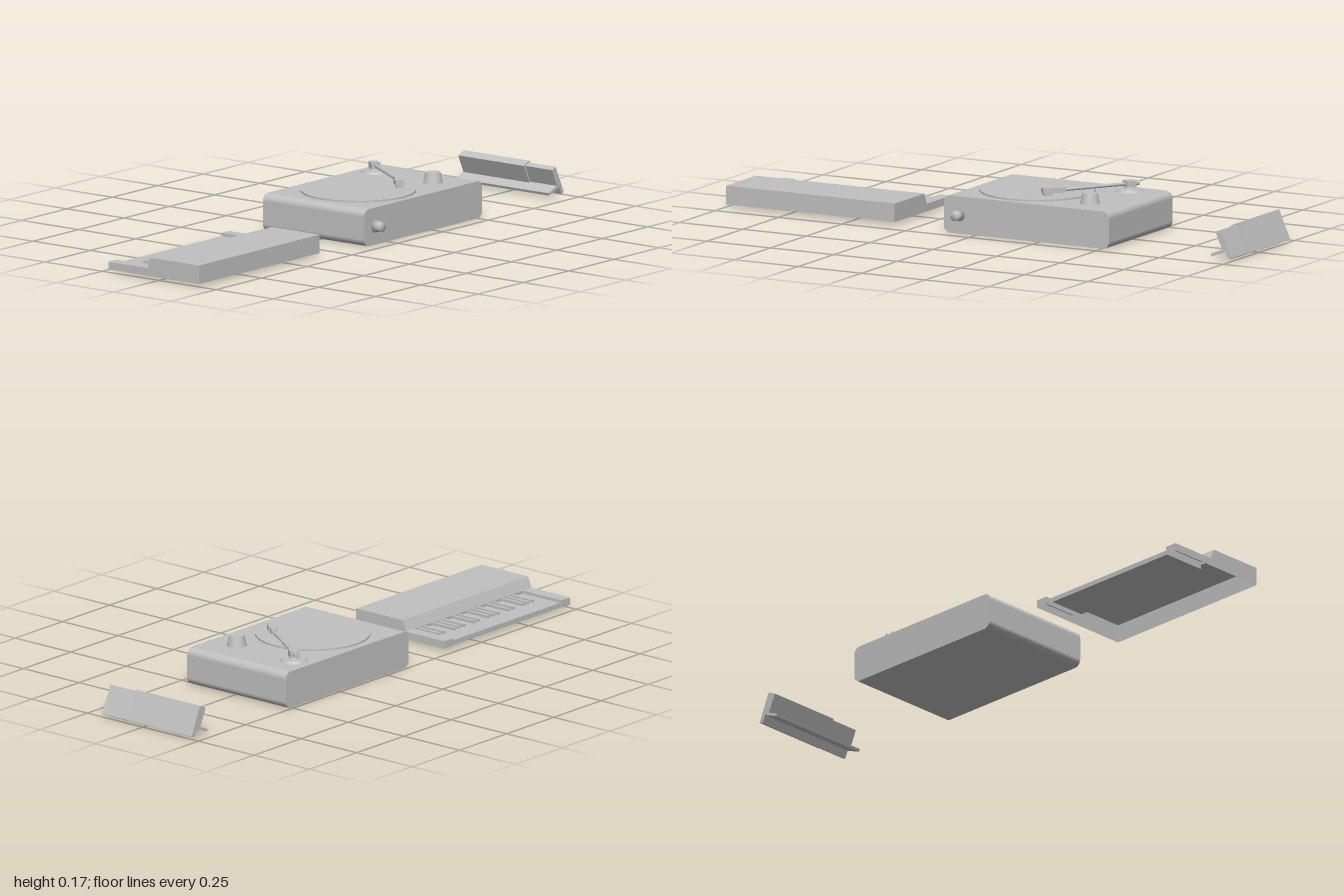
import * as THREE from 'three';

export function createModel() {
  const root = new THREE.Group();
  const grey = new THREE.MeshStandardMaterial({ color: 0xc0c0c0 });
  grey.name = 'light grey';
  const greySheet = new THREE.MeshStandardMaterial({ color: 0xc0c0c0, side: THREE.DoubleSide });
  greySheet.name = 'light grey sheet';

  const add = (parent, name, geo, x = 0, y = 0, z = 0, mat = grey) => {
    const m = new THREE.Mesh(geo, mat);
    m.name = name;
    m.position.set(x, y, z);
    parent.add(m);
    return m;
  };
  const group = (parent, name) => {
    const g = new THREE.Group();
    g.name = name;
    parent.add(g);
    return g;
  };
  const box = (w, h, d) => new THREE.BoxGeometry(w, h, d);
  const cyl = (rt, rb, h, n = 24) => new THREE.CylinderGeometry(rt, rb, h, n);
  // side profile in (-z, y), extruded from x0 to x1
  const alongX = (shape, x0, x1) => new THREE.ExtrudeGeometry(shape, {
    depth: x1 - x0, bevelEnabled: false, curveSegments: 8,
  }).rotateY(Math.PI / 2).translate(x0, 0, 0);
  const sideShape = (pts) => new THREE.Shape(pts.map(([z, y]) => new THREE.Vector2(-z, y)));

  // ---------- turntable ----------
  const deck = group(root, 'turntable');
  const r = 0.025, zb = 0.525, zf = -0.125, h = 0.13;
  const s = new THREE.Shape();
  s.moveTo(zf + r, 0);
  s.lineTo(zb - r, 0);
  s.absarc(zb - r, r, r, -Math.PI / 2, 0);
  s.absarc(zb - r, h - r, r, 0, Math.PI / 2);
  s.absarc(zf + r, h - r, r, Math.PI / 2, Math.PI);
  s.absarc(zf + r, r, r, Math.PI, Math.PI * 1.5);
  add(deck, 'deckBody', alongX(s, -0.24, 0.204));
  add(deck, 'platter', cyl(0.199, 0.199, 0.006), -0.017, 0.133, -0.12);
  add(deck, 'deckKnob', cyl(0.026, 0.035, 0.037, 16), 0.096, 0.1485, -0.39);

  // side knob with a narrower tip
  const knob = new THREE.LatheGeometry([[0, 0], [0.022, 0], [0.018, 0.022], [0.016, 0.034], [0, 0.034]]
    .map(([a, b]) => new THREE.Vector2(a, b)), 16).rotateZ(-Math.PI / 2);
  add(deck, 'sideKnob', knob, 0.204, 0.065, 0.065);

  // tone arm, built along local +x and swung over the platter
  const arm = group(deck, 'toneArm');
  arm.position.set(-0.167, 0, -0.397);
  arm.rotation.y = -0.594;
  add(arm, 'armBase', cyl(0.041, 0.048, 0.009), 0, 0.1345, 0);
  add(arm, 'armPivot', cyl(0.014, 0.018, 0.01, 16), 0, 0.143, 0);
  add(arm, 'armBlock', box(0.036, 0.022, 0.032), 0, 0.157, 0);
  add(arm, 'counterweight', cyl(0.009, 0.009, 0.02, 12).rotateZ(Math.PI / 2), -0.025, 0.157, 0);
  add(arm, 'armTube', cyl(0.006, 0.006, 0.28, 10).rotateZ(Math.PI / 2), 0.14, 0.157, 0);
  const head = group(arm, 'headShell');
  head.position.set(0.255, 0.157, 0);
  head.rotation.y = -0.15;
  add(head, 'headSleeve', box(0.036, 0.018, 0.018), 0.008, 0, 0);
  add(head, 'headPlate', box(0.05, 0.018, 0.03), 0.05, 0.001, 0);
  add(head, 'cartridge', box(0.03, 0.012, 0.02), 0.055, -0.011, 0);

  // ---------- keyboard: a thin shell, open underneath ----------
  const keys = group(root, 'keyboard');
  const sheet = (pts, z0, z1) => {
    const v = [];
    for (let i = 0; i + 1 < pts.length; i++) {
      const [a, b] = pts[i], [c, d] = pts[i + 1];
      v.push(a, b, z0, a, b, z1, c, d, z1, a, b, z0, c, d, z1, c, d, z0);
    }
    const g = new THREE.BufferGeometry();
    g.setAttribute('position', new THREE.Float32BufferAttribute(v, 3));
    g.computeVertexNormals();
    return g;
  };
  const sheetPart = (name, pts, z0, z1) => add(keys, name, sheet(pts, z0, z1), 0, 0, 0, greySheet);
  const zA = 0.335, zB = 1, cheek = 0.045, y0 = 0.01, yBed = 0.027, yCheek = 0.037;
  sheetPart('keyboardHousing',
    [[0.175, y0], [0.175, 0.075], [-0.034, 0.075], [-0.05, yCheek], [-0.05, yBed]].reverse(), zA, zB);
  sheetPart('keyBed', [[-0.217, y0], [-0.217, yBed], [-0.05, yBed]], zA + cheek, zB - cheek);
  const endShape = new THREE.Shape([[-0.222, y0], [0.175, y0], [0.175, 0.075], [-0.034, 0.075],
    [-0.05, yCheek], [-0.222, yCheek]].map(([a, b]) => new THREE.Vector2(a, b)));
  for (const [end, inner] of [[zA, zA + cheek], [zB, zB - cheek]]) {
    sheetPart('cheekBlock', [[-0.222, y0], [-0.222, yCheek], [-0.05, yCheek]],
      Math.min(end, inner), Math.max(end, inner));
    add(keys, 'cheekInnerWall', new THREE.PlaneGeometry(0.172, yCheek - y0),
      -0.136, (y0 + yCheek) / 2, inner, greySheet);
    const cap = new THREE.ShapeGeometry(endShape);
    if (end === zA) cap.rotateY(Math.PI).scale(-1, 1, 1);
    add(keys, 'endWall', cap, 0, 0, end, greySheet);
  }
  // raised keys in groups of two and three
  for (let o = 0; o < 3; o++) {
    for (const off of [0, 0.026, 0.079, 0.105, 0.131]) {
      add(keys, 'raisedKey', box(0.094, 0.009, 0.012), -0.097, yBed + 0.0045, 0.402 + o * 0.183 + off);
    }
  }

  // ---------- leaning stand ----------
  const stand = group(root, 'stand');
  add(stand, 'thickPanel', alongX(sideShape([[-0.956, 0.111], [-0.926, 0.097], [-0.957, 0.03],
    [-0.97, 0.037], [-0.986, 0.004], [-1, 0.01]]), -0.22, 0.068));
  add(stand, 'thinPanel', alongX(sideShape([[-0.954, 0.105], [-0.934, 0.096], [-0.963, 0.032],
    [-0.971, 0.036], [-0.986, 0.004], [-0.998, 0.01]]), 0.068, 0.185));
  add(stand, 'frontLedge', alongX(sideShape([[-0.972, 0.041], [-0.915, 0.018], [-0.919, 0.009],
    [-0.976, 0.032]]), -0.22, 0.185));

  return root;
}
